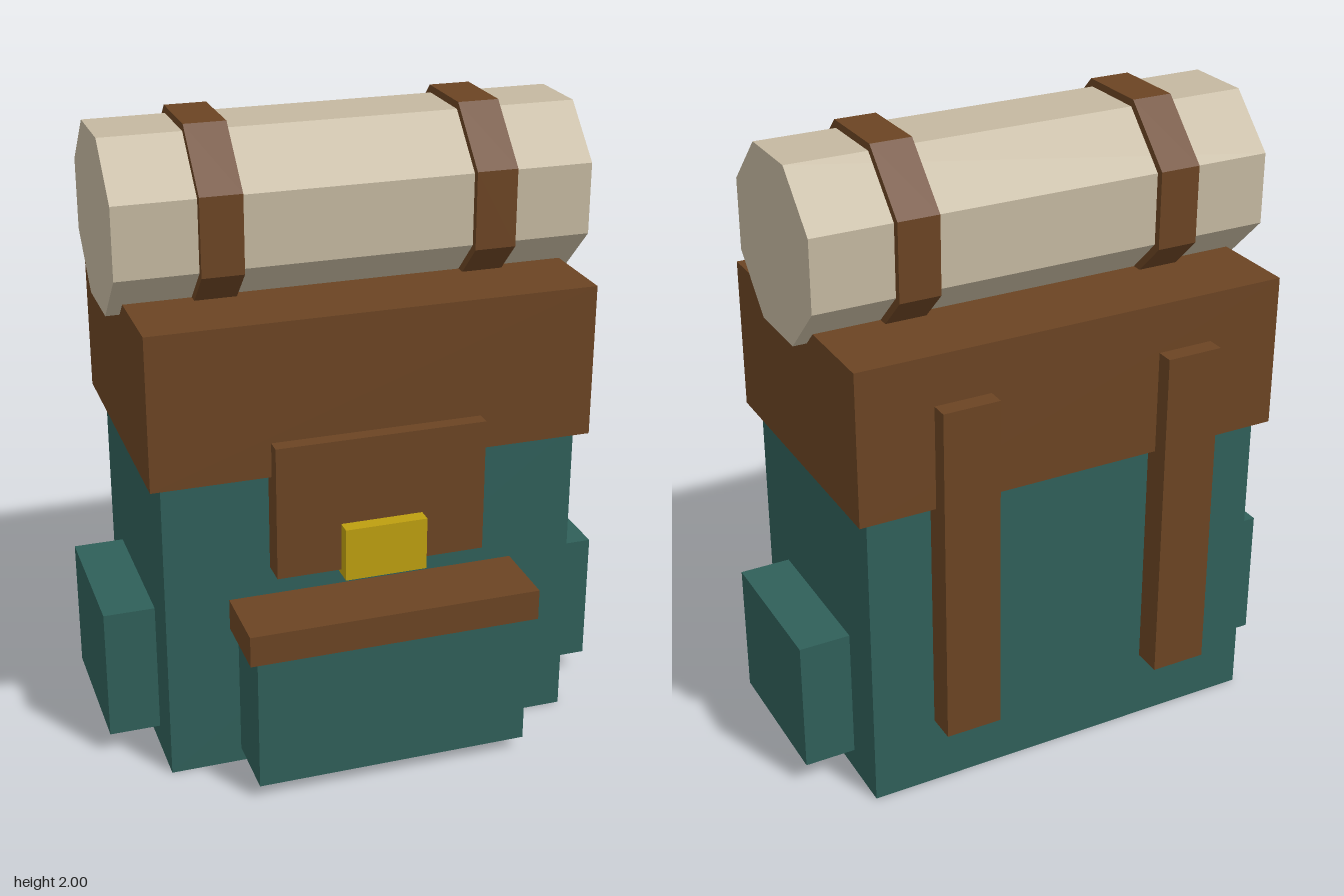
import * as THREE from 'three';

const flat = (name, color) => {
  const m = new THREE.MeshStandardMaterial({ color });
  m.name = name;
  return m;
};

export function createModel() {
  const group = new THREE.Group();
  group.name = 'backpack';
  const canvas = flat('teal canvas', 0x2f5f59);
  const leather = flat('brown leather', 0x6b4423);
  const blanket = flat('cream blanket', 0xc4b8a0);
  const brass = flat('yellow brass', 0xbd9e10);

  const add = (name, geometry, material) => {
    const mesh = new THREE.Mesh(geometry, material);
    mesh.name = name;
    group.add(mesh);
    return mesh;
  };
  // Box given by its lower and upper limits on each axis
  const box = (name, material, [x0, x1], [y0, y1], [z0, z1]) =>
    add(name, new THREE.BoxGeometry(x1 - x0, y1 - y0, z1 - z0), material)
      .position.set((x0 + x1) / 2, (y0 + y1) / 2, (z0 + z1) / 2);
  // Flat-topped octagonal prism along x, sized by its half height
  const octagon = (name, material, halfHeight, length, x) => {
    const r = halfHeight / Math.cos(Math.PI / 8);
    const g = new THREE.CylinderGeometry(r, r, length, 8, 1, false, Math.PI / 8)
      .rotateZ(Math.PI / 2).toNonIndexed();
    g.computeVertexNormals(); // one normal per facet
    add(name, g, material).position.set(x, 1.709, -0.072);
  };

  // Main bag and its lid
  box('body', canvas, [-0.663, 0.663], [0, 1.02], [-0.477, 0.334]);
  box('lid', leather, [-0.7, 0.7], [1, 1.487], [-0.515, 0.37]);

  // Front flap with buckle
  box('flap', leather, [-0.332, 0.332], [0.68, 1.11], [0.32, 0.417]);
  box('buckle', brass, [-0.13, 0.13], [0.665, 0.835], [0.32, 0.463]);

  // Front pocket
  box('frontPocket', canvas, [-0.437, 0.437], [0.047, 0.5], [0.32, 0.555]);
  box('frontPocketLid', leather, [-0.463, 0.463], [0.487, 0.587], [0.32, 0.573]);

  // Bedroll
  octagon('bedroll', blanket, 0.27, 1.486, 0);

  // Mirrored pairs
  for (const [side, s] of [['left', 1], ['right', -1]]) {
    const span = (a, b) => (s > 0 ? [a, b] : [-b, -a]);
    box(side + 'SidePocket', canvas, span(0.65, 0.825), [0.075, 0.507], [-0.315, 0.174]);
    box(side + 'ShoulderStrap', leather, span(0.28, 0.46), [0.227, 1.33], [-0.57, -0.46]);
    octagon(side + 'BedrollStrap', leather, 0.293, 0.13, s * 0.425);
  }
  return group;
}
